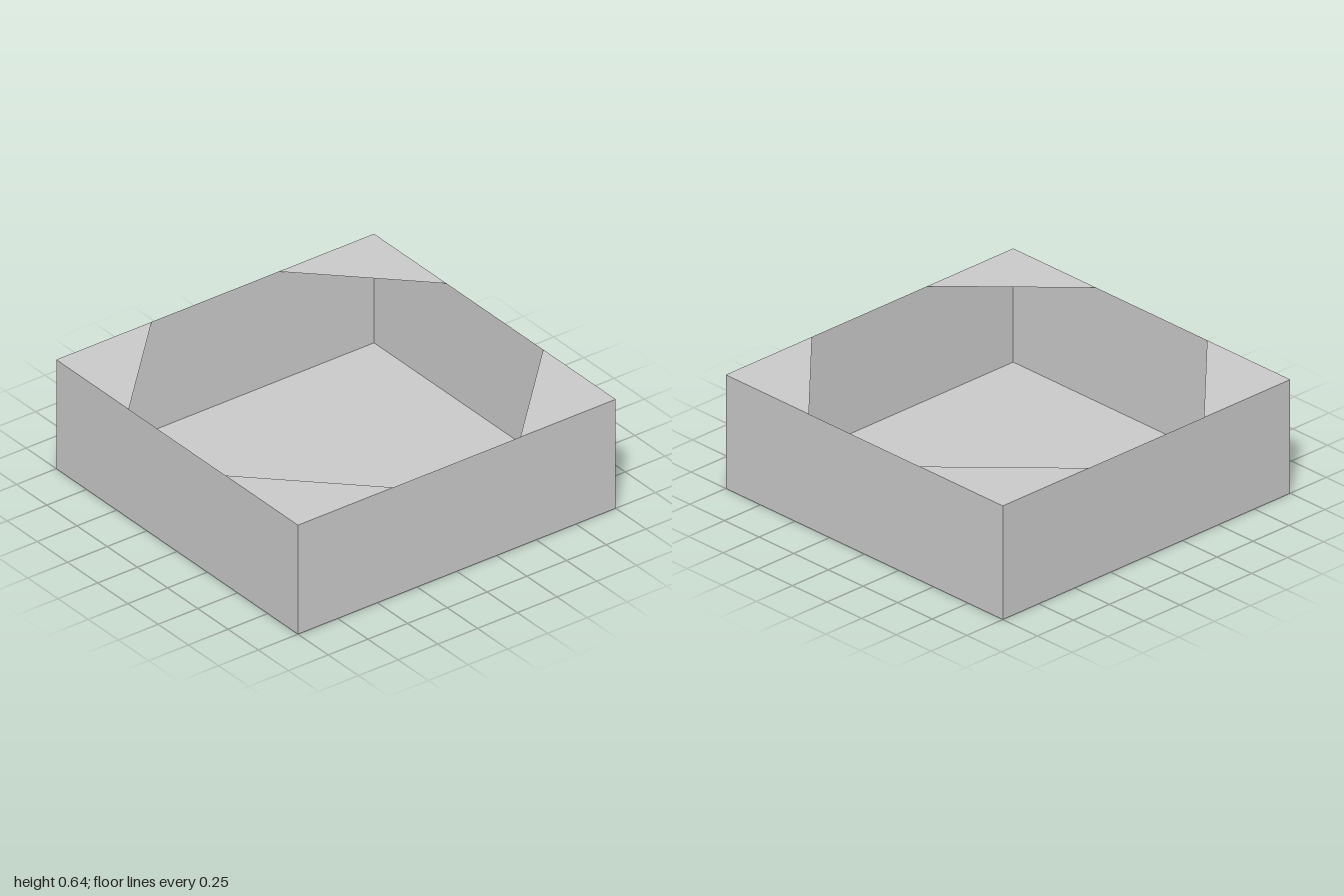
import * as THREE from 'three';

const HALF = 1;      // half the tray width
const HEIGHT = 0.64; // wall height
const CORNER = 0.6;  // leg length of each corner plate

export function createModel() {
  const group = new THREE.Group();
  group.name = 'openTray';
  const material = new THREE.MeshStandardMaterial({
    color: 0xcccccc, side: THREE.DoubleSide, flatShading: true,
  });

  const add = (name, geometry, y, turn = 0) => {
    const mesh = new THREE.Mesh(geometry.rotateY(turn), material);
    mesh.name = name;
    mesh.position.y = y;
    group.add(mesh);
  };

  // Floor sheet, facing down
  add('floor', new THREE.PlaneGeometry(2 * HALF, 2 * HALF).rotateX(Math.PI / 2), 0);

  // Triangular plate for the front left corner, facing up
  const triangle = new THREE.Shape([
    new THREE.Vector2(HALF, -HALF),
    new THREE.Vector2(HALF, -HALF + CORNER),
    new THREE.Vector2(HALF - CORNER, -HALF),
  ]);

  // Four thin walls and four corner plates, a quarter turn apart
  ['front', 'left', 'back', 'right'].forEach((side, i) => {
    const turn = i * Math.PI / 2;
    const wall = new THREE.PlaneGeometry(2 * HALF, HEIGHT).translate(0, 0, HALF);
    add(side + 'Wall', wall, HEIGHT / 2, turn);
    const plate = new THREE.ShapeGeometry(triangle).rotateX(-Math.PI / 2);
    add('cornerPlate' + (i + 1), plate, HEIGHT, turn);
  });

  return group;
}
